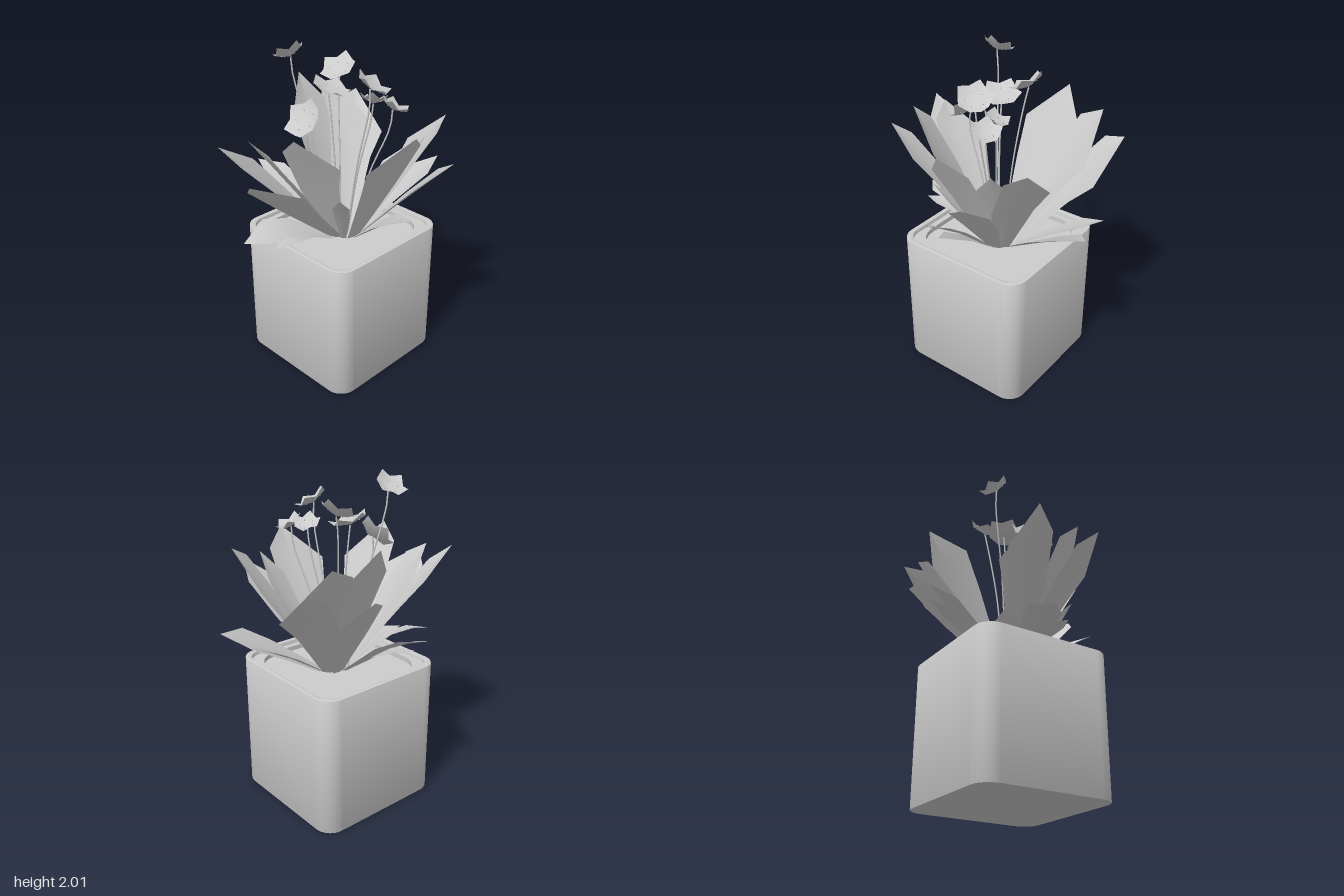
import * as THREE from 'three';
import { toCreasedNormals } from 'three/addons/utils/BufferGeometryUtils.js';

const V = (x, y, z) => new THREE.Vector3(x, y, z);
const solid = new THREE.MeshStandardMaterial({ color: 0xcccccc });
const thin = new THREE.MeshStandardMaterial({ color: 0xcccccc, side: THREE.DoubleSide });
const CX = -0.01, CZ = -0.035;

function add(parent, name, geometry, material = solid) {
  const mesh = new THREE.Mesh(geometry, material);
  mesh.name = name;
  parent.add(mesh);
}

function roundedSquare(half, r, Type = THREE.Shape) {
  const s = new Type();
  const c = half - r;
  s.absarc(c, c, r, 0, Math.PI / 2);
  s.absarc(-c, c, r, Math.PI / 2, Math.PI);
  s.absarc(-c, -c, r, Math.PI, Math.PI * 1.5);
  s.absarc(c, -c, r, Math.PI * 1.5, Math.PI * 2);
  s.closePath();
  return s;
}

// Upright rounded-square block or ring between two heights
function slab(half, r, y0, y1, hole, bevel = 0) {
  const shape = roundedSquare(half, r);
  if (hole) shape.holes.push(roundedSquare(hole[0], hole[1], THREE.Path));
  const g = new THREE.ExtrudeGeometry(shape, {
    depth: y1 - y0 - 2 * bevel, curveSegments: 8, bevelEnabled: bevel > 0,
    bevelSize: bevel, bevelThickness: bevel, bevelOffset: -bevel, bevelSegments: 2,
  });
  g.rotateX(-Math.PI / 2);
  g.translate(CX, y0 + bevel, CZ);
  return toCreasedNormals(g, 0.6);
}

function meshFrom(points, index) {
  const g = new THREE.BufferGeometry().setFromPoints(points);
  g.setIndex(index);
  g.computeVertexNormals();
  return g;
}

// Lightly folded, rolled blade: narrow foot, uneven shoulders, blunt tip
function leafGeometry([x, y, z, width, skew = 0, roll = 0, bow = 0]) {
  const tip = V(x, y, z);
  const out = V(x - 0.02, 0, z + 0.07).normalize();
  const base = V(0.01, 0.8, -0.05).addScaledVector(out, 0.08);
  const control = base.clone().lerp(tip, 0.5).add(V(0, bow, 0)).addScaledVector(out, -0.02);
  const spine = new THREE.QuadraticBezierCurve3(base, control, tip);
  const along = tip.clone().sub(base).normalize();
  const side = V(-out.z, 0, out.x).applyAxisAngle(along, -roll);
  const lift = side.clone().cross(along);
  const at = (t, w) => spine.getPoint(t).addScaledVector(side, w * width)
    .addScaledVector(lift, Math.abs(w) * width * 0.16);
  const shoulder = (s) => 0.77 + (s > 0 ? 0.14 : 0.08) * s;
  const rows = [
    [at(0, -0.15), at(0, 0), at(0, 0.15)],
    [at(0.5, -0.42), at(0.5, 0), at(0.5, 0.42)],
    [at(shoulder(skew), -0.5 + 0.14 * skew), at(0.77, 0), at(shoulder(-skew), 0.5 + 0.14 * skew)],
    [at(1, 0), at(1, 0), at(1, 0)],
  ];
  const index = [];
  for (let r = 0; r < 3; r++) for (let c = 0; c < 2; c++) {
    const a = r * 3 + c;
    index.push(a, a + 1, a + 3, a + 1, a + 4, a + 3);
  }
  return meshFrom(rows.flat(), index);
}

// Five-cornered saucer with small stamens on a thin stem
function flower([x, y, z, nx, ny, nz, r], i) {
  const group = new THREE.Group();
  group.name = 'flower';
  const points = [V(0, -0.025, 0)], index = [];
  for (let k = 0; k < 10; k++) {
    const a = (k / 10) * Math.PI * 2 + i, corner = k % 2 === 0;
    const rad = corner ? r : r * 0.83;
    points.push(V(Math.cos(a) * rad, corner ? 0.03 : 0, Math.sin(a) * rad));
    index.push(0, 1 + ((k + 1) % 10), 1 + k);
  }
  const head = new THREE.Group();
  head.name = 'flowerHead';
  add(head, 'petals', meshFrom(points, index), thin);
  for (let k = 0; k < 5; k++) {
    const a = ((k + 0.5) / 5) * Math.PI * 2 + i;
    const g = new THREE.ConeGeometry(0.003, 0.02, 4);
    g.translate(Math.cos(a) * r * 0.5, -0.003, Math.sin(a) * r * 0.5);
    add(head, 'stamen', g);
  }
  const normal = V(nx, ny, nz).normalize();
  head.quaternion.setFromUnitVectors(V(0, 1, 0), normal);
  head.position.set(x, y, z);
  group.add(head);
  // Stem leaves the soil steeply and meets the head from beneath
  const end = V(x, y, z).addScaledVector(normal, -0.025);
  const stem = new THREE.CatmullRomCurve3([
    V(-0.01 + x * 0.2, 0.8, -0.03 + z * 0.2),
    V(x * 0.55, 0.8 + (y - 0.8) * 0.5, -0.01 + z * 0.55),
    V(x * 0.93, y - 0.13, z * 0.93), end]);
  add(group, 'stem', new THREE.TubeGeometry(stem, 12, 0.005, 5));
  return group;
}

export function createModel() {
  const model = new THREE.Group();
  model.name = 'pottedPlant';

  // Pot with stepped inner rim, flat base and soil
  const pot = new THREE.Group();
  pot.name = 'pot';
  add(pot, 'potWall', slab(0.432, 0.11, 0, 0.87, [0.4, 0.1], 0.006));
  add(pot, 'innerLedge', slab(0.405, 0.1, 0.7, 0.845, [0.365, 0.16]));
  add(pot, 'soil', slab(0.426, 0.104, 0, 0.815));
  model.add(pot);

  // Leaves: tip x, y, z, width, skew, roll, bow
  const leaves = [
    // tall outer leaves
    [-0.44, 1.50, -0.60, 0.29, 1, -0.2], [-0.46, 1.62, -0.44, 0.30, 0.9, -0.2],
    [0.38, 1.56, -0.50, 0.29, -0.9], [0.41, 1.50, -0.29, 0.20],
    [0.63, 1.40, -0.27, 0.25, 0.3], [0.54, 1.59, -0.04, 0.34, 0.6],
    [0.09, 1.41, 0.73, 0.26, -0.8, -0.35], [0.15, 1.61, 0.475, 0.28, -0.8, -0.25],
    [-0.18, 1.53, 0.52, 0.29, 0.8], [-0.26, 1.51, 0.66, 0.24, 0.6, 0.2],
    [-0.62, 1.46, -0.29, 0.25, 0.5, -0.3], [-0.52, 1.69, -0.17, 0.32, -0.3, -0.3],
    // spreading leaves
    [0.165, 1.16, -0.735, 0.25, 0, 0.2, 0.02], [-0.09, 1.15, -0.70, 0.14, 0, 0, 0.02],
    [0.575, 1.16, 0.05, 0.14, 0, -0.3, 0.04], [0.545, 1.10, -0.03, 0.13, 0, 0, 0.04],
    [-0.63, 1.15, 0.10, 0.16, 0, 0.3, 0.08], [-0.59, 1.10, 0.03, 0.12, 0, 0, 0.06],
    // low drooping and short inner leaves
    [-0.14, 0.94, 0.62, 0.19, 0.3, 0.3, 0.15], [0.02, 0.93, 0.52, 0.12, 0, 0, 0.1],
    [-0.20, 1.07, 0.22, 0.15, 0.3], [0.26, 1.22, 0.25, 0.10],
    [0.02, 1.15, -0.28, 0.08],
  ];
  const foliage = new THREE.Group();
  foliage.name = 'foliage';
  leaves.forEach((spec) => add(foliage, 'leaf', leafGeometry(spec), thin));
  model.add(foliage);

  // Flowers: head position, facing direction, radius
  const flowers = [
    [-0.24, 1.935, 0.15, -0.55, 0.85, 0, 0.098],
    [-0.045, 1.61, 0.225, 0, 0.62, 0.78, 0.122],
    [-0.13, 1.81, -0.13, 0.05, 0.85, 0.5, 0.113],
    [-0.07, 1.73, 0.0, 0.25, 0.9, -0.15, 0.118],
    [0.22, 1.81, -0.04, 0.4, 0.85, -0.35, 0.108],
    [0.28, 1.675, -0.16, 0.25, 0.9, -0.4, 0.09],
    [0.15, 1.69, -0.13, -0.2, 0.9, -0.35, 0.085],
  ];
  const blooms = new THREE.Group();
  blooms.name = 'flowers';
  flowers.forEach((spec, i) => blooms.add(flower(spec, i)));
  model.add(blooms);
  return model;
}
